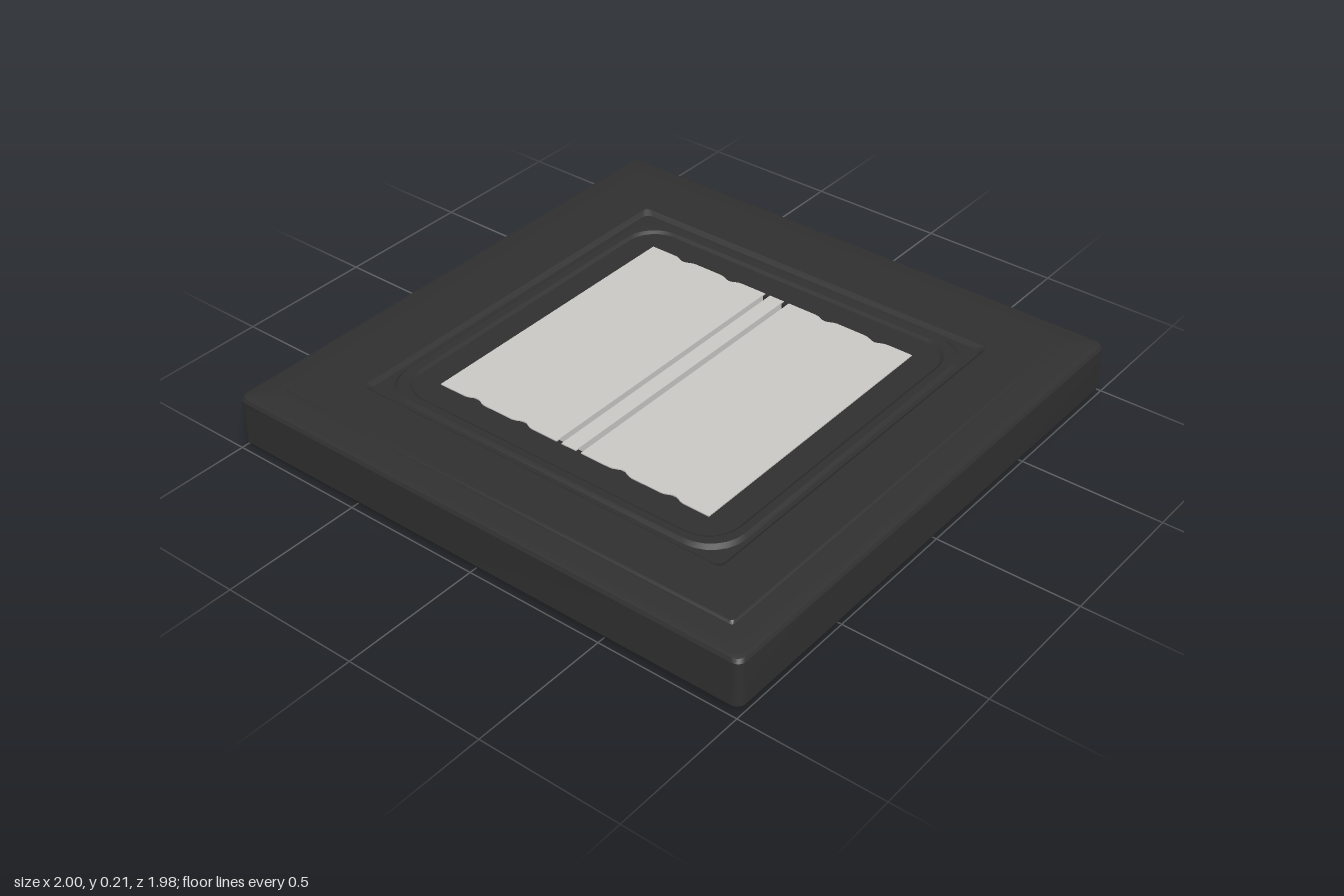
import * as THREE from 'three';
import { toCreasedNormals } from 'three/addons/utils/BufferGeometryUtils.js';

const MID = 0.105; // mid-height of the slab

// Rounded-square outline of half-size h and corner radius r, at height y
function ring(h, r, y) {
  const pts = [], steps = 6;
  for (let c = 0; c < 4; c++) {
    const sx = c === 0 || c === 3 ? 1 : -1, sz = c < 2 ? 1 : -1;
    for (let i = 0; i <= steps; i++) {
      const a = (c + i / steps) * Math.PI / 2;
      pts.push([sx * (h - r) + r * Math.cos(a), y, (sz * (h - r) + r * Math.sin(a)) * 0.99]);
    }
  }
  return pts;
}

// Closed frame lofted through the rings of a profile
function loft(rings) {
  const n = rings[0].length, m = rings.length, index = [];
  for (let k = 0; k < m; k++) {
    for (let j = 0; j < n; j++) {
      const a = k * n + j, a1 = k * n + (j + 1) % n;
      const b = ((k + 1) % m) * n + j, b1 = ((k + 1) % m) * n + (j + 1) % n;
      index.push(a, b, a1, a1, b, b1);
    }
  }
  const geo = new THREE.BufferGeometry();
  geo.setAttribute('position', new THREE.Float32BufferAttribute(rings.flat(2), 3));
  geo.setIndex(index);
  return toCreasedNormals(geo, 0.45);
}

// Pane between x0 and x1 with softly scalloped ends
function paneGeometry(x0, x1, depth, scalloped) {
  const edge = x => 0.537 - (scalloped ? 0.014 * Math.max(0, Math.cos(x * Math.PI * 10)) ** 3 : 0);
  const pts = [], n = scalloped ? 40 : 1;
  for (let i = 0; i <= n; i++) {
    const x = x0 + (x1 - x0) * i / n;
    pts.push(new THREE.Vector2(x, -edge(x)));
  }
  for (let i = n; i >= 0; i--) {
    const x = x0 + (x1 - x0) * i / n;
    pts.push(new THREE.Vector2(x, edge(x)));
  }
  const geo = new THREE.ExtrudeGeometry(new THREE.Shape(pts), { depth, bevelEnabled: false });
  return geo.rotateX(-Math.PI / 2);
}

export function createModel() {
  const model = new THREE.Group();
  const darkFrame = new THREE.MeshStandardMaterial({ color: 0x303030 });
  darkFrame.name = 'charcoal';
  const paleGlass = new THREE.MeshStandardMaterial({ color: 0xcac8c5 });
  paleGlass.name = 'pale grey';

  const add = (name, geo, mat, y = 0) => {
    const mesh = new THREE.Mesh(geo, mat);
    mesh.name = name;
    mesh.position.y = y;
    model.add(mesh);
  };

  // Frame profile, outside to inside: half-size, corner radius, height above the middle
  const profile = [
    [1.0, 0.03, 0.078], [0.994, 0.03, 0.09], [0.98, 0.03, 0.095],
    [0.893, 0.01, 0.097], [0.887, 0.01, 0.105],
    [0.72, 0.02, 0.101], [0.705, 0.03, 0.088],
    [0.69, 0.13, 0.088], [0.678, 0.13, 0.098], [0.65, 0.12, 0.096],
    [0.638, 0.11, 0.088], [0.53, 0.01, 0.086],
  ];
  const top = profile.map(([h, r, y]) => ring(h, r, MID + y));
  const bottom = profile.map(([h, r, y]) => ring(h, r, MID - y)).reverse();
  add('frame', loft([...top, ...bottom]), darkFrame);

  // Dark core seen at the bottom of the slots between the panes
  add('core', new THREE.BoxGeometry(1.07, 0.05, 1.06), darkFrame, MID);

  // Panes on the upper and lower faces: wide, narrow, wide
  const spans = [
    ['rightPane', -0.545, -0.055, true],
    ['centrePane', -0.035, 0.023, false],
    ['leftPane', 0.044, 0.54, true],
  ];
  const depth = 0.068;
  for (const [name, x0, x1, scalloped] of spans) {
    add(name + 'Top', paneGeometry(x0, x1, depth, scalloped), paleGlass, MID + 0.022);
    add(name + 'Bottom', paneGeometry(x0, x1, depth, scalloped), paleGlass, MID - 0.022 - depth);
  }
  return model;
}
